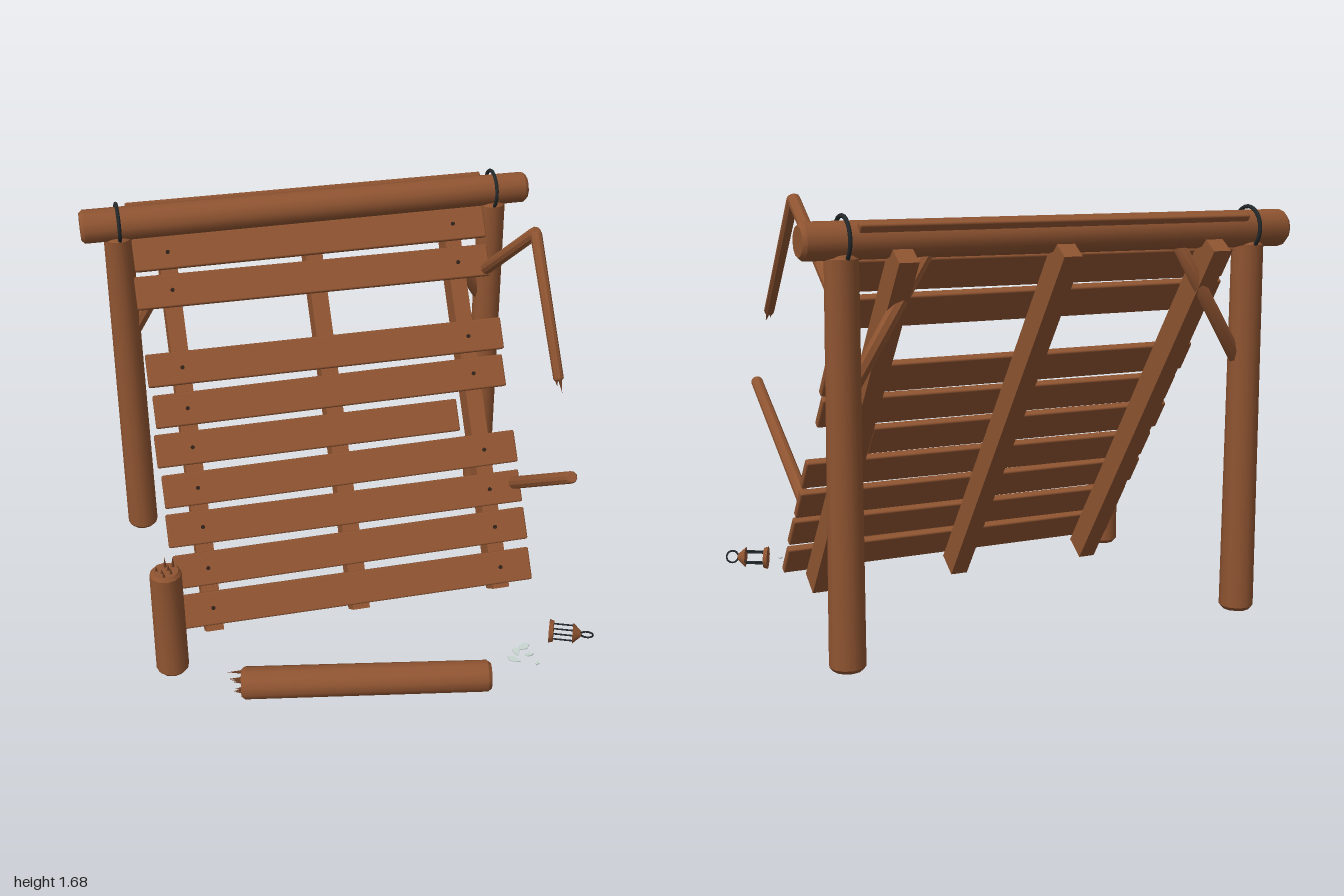
import * as THREE from 'three';
import { toCreasedNormals } from 'three/addons/utils/BufferGeometryUtils.js';
import { RoundedBoxGeometry } from 'three/addons/geometries/RoundedBoxGeometry.js';

const V = (x, y, z) => new THREE.Vector3(x, y, z);
const UP = V(0, 1, 0);

function material(name, color, extra = {}) {
  const m = new THREE.MeshStandardMaterial({ color, ...extra });
  m.name = name;
  return m;
}

export function createModel() {
  const wood = material('wood', 0x8f5431);
  const darkWood = material('splinterWood', 0x6e3f24);
  const nailMetal = material('nailMetal', 0x2e2018);
  const iron = material('darkIron', 0x23282a);
  const glass = material('glass', 0xc9d6d2, { side: THREE.DoubleSide });

  const model = new THREE.Group();
  model.name = 'collapsedShelter';

  function add(parent, name, geometry, mat, position) {
    const mesh = new THREE.Mesh(geometry, mat);
    mesh.name = name;
    if (position) mesh.position.copy(position);
    parent.add(mesh);
    return mesh;
  }

  // Round timber from a to b with chamfered ends
  function log(parent, name, a, b, r0, r1, sides = 12, mat = wood) {
    const dir = b.clone().sub(a);
    const len = dir.length();
    const c = Math.min(0.015, r0 * 0.25);
    const profile = [[0, 0], [r0 * 0.82, 0], [r0, c], [r1, len - c], [r1 * 0.82, len], [0, len]]
      .map(([x, y]) => new THREE.Vector2(x, y));
    const geo = toCreasedNormals(new THREE.LatheGeometry(profile, sides), 0.6);
    const mesh = add(parent, name, geo, mat, a);
    mesh.quaternion.setFromUnitVectors(UP, dir.normalize());
    return mesh;
  }

  // Ring of sharp splinters standing on a broken end
  function splinters(parent, name, at, dir, radius, height, count) {
    const group = new THREE.Group();
    group.name = name;
    group.position.copy(at);
    group.quaternion.setFromUnitVectors(UP, dir.clone().normalize());
    for (let i = 0; i < count; i++) {
      const a = i * 2.4;
      const r = radius * Math.sqrt((i + 0.5) / count);
      const h = height * (0.7 + 0.3 * Math.sin(i * 4.1));
      add(group, 'splinter', new THREE.ConeGeometry(0.008, h, 5), darkWood,
        V(r * Math.cos(a), h / 2 - 0.004, r * Math.sin(a)));
    }
    parent.add(group);
  }

  // Top beam, posts, braces and lashings
  log(model, 'topBeam', V(-1, 1.547, -0.747), V(1, 1.547, -0.747), 0.073, 0.068);
  for (const side of [-1, 1]) {
    const label = side > 0 ? 'left' : 'right';
    log(model, label + 'Post', V(side * 0.843, 0, -0.745), V(side * 0.843, 1.5, -0.745), 0.069, 0.062);
    log(model, label + 'Brace', V(side * 0.84, 0.98, -0.745), V(side * 0.52, 1.5, -0.745), 0.03, 0.028, 8);
    const lashing = add(model, label + 'Lashing', new THREE.TorusGeometry(0.083, 0.008, 8, 24), iron,
      V(side * 0.84, 1.55, -0.747));
    lashing.rotation.y = Math.PI / 2;
  }

  // Tilted roof: three rafters carrying planks
  const roof = new THREE.Group();
  roof.name = 'roof';
  roof.position.set(0, 0.768, -0.316);
  roof.rotation.x = -0.605;
  model.add(roof);
  for (const x of [-0.643, 0, 0.64]) {
    add(roof, 'rafter', new THREE.BoxGeometry(0.075, 1.788, 0.109), wood, V(x, 0, 0));
  }

  // Each plank: height above ground, right end, left end, slight roll
  const planks = [
    [1.55, -0.8, 0.8, 0], [1.42, -0.79, 0.79, 0.003], [1.28, -0.8, 0.785, -0.004],
    [1.003, -0.795, 0.8, -0.003], [0.861, -0.785, 0.785, 0.004], [0.72, -0.8, 0.545, 0],
    [0.578, -0.79, 0.79, 0.004], [0.436, -0.795, 0.785, -0.003],
    [0.294, -0.785, 0.785, 0.003], [0.15, -0.785, 0.78, -0.004],
  ];
  planks.forEach(([y, x0, x1, roll], i) => {
    const plank = new THREE.Group();
    plank.name = 'plank' + (i + 1);
    plank.position.set((x0 + x1) / 2, (y - 0.807) / 0.8226, 0.07);
    plank.rotation.z = roll;
    roof.add(plank);
    add(plank, 'board', new RoundedBoxGeometry(x1 - x0, 0.143, 0.032, 1, 0.007), wood);
    for (const x of [-0.643, 0.64]) {
      if (x > x1) continue;
      const nail = add(plank, 'nail', new THREE.CylinderGeometry(0.009, 0.009, 0.008, 8), nailMetal,
        V(x - plank.position.x, 0, 0.017));
      nail.rotation.x = Math.PI / 2;
    }
  });

  // Thin poles sticking out of the roof, the upper one snapped over
  const elbow = V(0.768, 1.665, 0.02);
  const snapped = V(0.773, 1.175, 0.37);
  log(model, 'upperPole', V(0.768, 1.24, -0.57), elbow, 0.028, 0.026, 10);
  log(model, 'hangingPole', elbow, snapped, 0.024, 0.021, 10);
  splinters(model, 'poleSplinters', snapped, snapped.clone().sub(elbow), 0.016, 0.06, 4);
  log(model, 'lowerPole', V(0.757, 0.44, -0.02), V(0.77, 0.855, 0.595), 0.028, 0.025, 10);

  // Broken front post: standing stump and fallen log
  log(model, 'stump', V(-0.845, 0, 0.36), V(-0.845, 0.505, 0.36), 0.068, 0.065);
  splinters(model, 'stumpSplinters', V(-0.845, 0.505, 0.36), UP, 0.045, 0.05, 7);
  const logA = V(-0.595, 0.073, 0.605), logB = V(0.405, 0.073, 0.798);
  log(model, 'fallenLog', logA, logB, 0.067, 0.065);
  splinters(model, 'logSplinters', logA, logA.clone().sub(logB), 0.05, 0.06, 7);

  // Lantern lying on its side
  const lantern = new THREE.Group();
  lantern.name = 'lantern';
  lantern.position.set(0.755, 0.055, 0.565);
  lantern.quaternion.setFromUnitVectors(UP, V(0.9, 0.03, 0.42).normalize());
  model.add(lantern);
  add(lantern, 'base', new THREE.CylinderGeometry(0.045, 0.05, 0.018, 12), wood);
  for (let i = 0; i < 4; i++) {
    const a = Math.PI / 4 + i * Math.PI / 2;
    add(lantern, 'bar', new THREE.CylinderGeometry(0.004, 0.004, 0.09, 6), iron,
      V(0.034 * Math.cos(a), 0.05, 0.034 * Math.sin(a)));
  }
  add(lantern, 'cap', new THREE.CylinderGeometry(0.012, 0.045, 0.035, 12), wood, V(0, 0.108, 0));
  const ring = add(lantern, 'handle', new THREE.TorusGeometry(0.026, 0.004, 6, 20), iron, V(0, 0.15, 0));
  ring.rotation.y = Math.PI / 2 - 1.57;

  // Broken glass on the ground: x, z, size, turn
  for (const [x, z, s, turn] of [[0.625, 0.58, 0.034, 0.2], [0.585, 0.605, 0.026, 1.3],
    [0.56, 0.65, 0.03, 2.2], [0.648, 0.695, 0.014, 0.7], [0.635, 0.635, 0.02, 2.9]]) {
    const shape = new THREE.Shape([[-1, -0.3], [0.3, -0.6], [1, 0.1], [0.4, 0.6], [-0.5, 0.3]]
      .map(([u, v]) => new THREE.Vector2(u * s, v * s)));
    const shard = add(model, 'glassShard',
      new THREE.ExtrudeGeometry(shape, { depth: 0.005, bevelEnabled: false }), glass, V(x, 0.004, z));
    shard.rotation.set(-Math.PI / 2, 0, turn);
  }

  return model;
}
